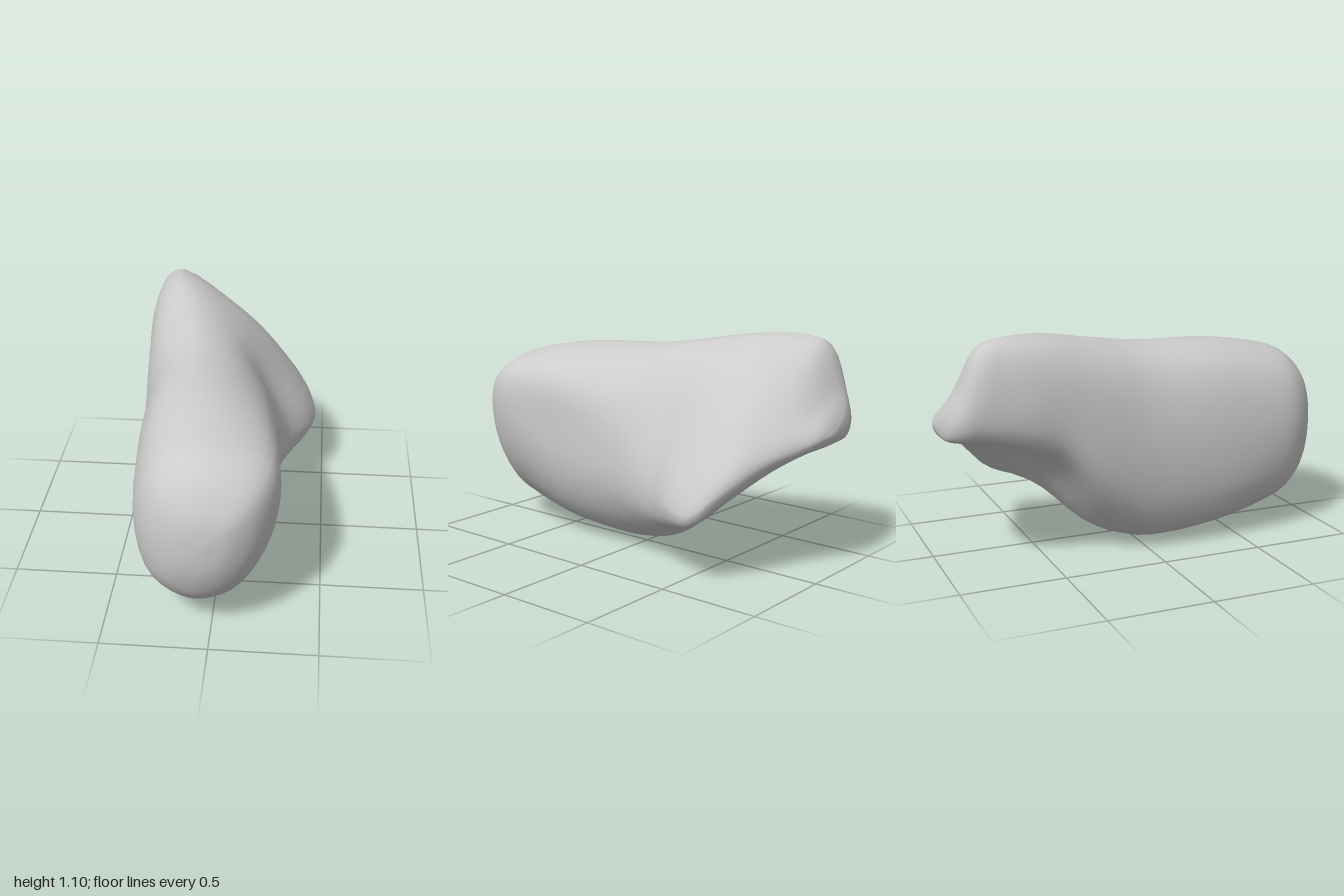
import * as THREE from 'three';
import { mergeVertices } from 'three/addons/utils/BufferGeometryUtils.js';

// Each section: z, then ten x,y pairs running counter-clockwise from the right-hand side.
const bodySections = [
  [0.7, 0.3, 0.68, 0.26, 0.83, 0.07, 0.92, -0.15, 0.92, -0.3, 0.8, -0.365, 0.52, -0.295, 0.21, -0.1, 0.085, 0.1, 0.15, 0.25, 0.38],
  [0.4, 0.28, 0.6, 0.25, 0.82, 0.07, 0.95, -0.15, 0.975, -0.32, 0.86, -0.395, 0.51, -0.325, 0.14, -0.1, 0.02, 0.14, 0.1, 0.262, 0.32],
  [0, 0.27, 0.5, 0.21, 0.75, 0.04, 0.94, -0.16, 1.0, -0.33, 0.88, -0.415, 0.52, -0.335, 0.135, -0.1, 0, 0.14, 0.09, 0.258, 0.28],
  [-0.25, 0.31, 0.38, 0.2, 0.67, 0.03, 0.94, -0.19, 1.04, -0.37, 0.92, -0.43, 0.65, -0.39, 0.33, -0.12, 0.11, 0.14, 0.115, 0.285, 0.22],
];
const tailSections = [
  [-0.45, 0.42, 0.36, 0.25, 0.66, 0.04, 0.93, -0.22, 1.075, -0.38, 0.99, -0.44, 0.75, -0.4, 0.53, -0.12, 0.38, 0.15, 0.27, 0.38, 0.25],
  [-0.6, 0.45, 0.345, 0.28, 0.64, 0.05, 0.91, -0.25, 1.09, -0.39, 1.02, -0.45, 0.77, -0.4, 0.59, -0.12, 0.51, 0.18, 0.38, 0.42, 0.285],
  [-0.72, 0.375, 0.45, 0.26, 0.64, 0.04, 0.88, -0.28, 1.085, -0.39, 1.03, -0.44, 0.79, -0.39, 0.62, -0.12, 0.57, 0.15, 0.47, 0.33, 0.4],
  [-0.83, 0.215, 0.56, 0.16, 0.67, 0, 0.83, -0.29, 1.055, -0.38, 1.02, -0.42, 0.8, -0.37, 0.64, -0.13, 0.6, 0.05, 0.54, 0.16, 0.52],
  [-0.92, 0.085, 0.62, 0.06, 0.68, -0.05, 0.76, -0.27, 0.86, -0.34, 0.85, -0.38, 0.75, -0.34, 0.64, -0.14, 0.61, -0.01, 0.59, 0.06, 0.59],
  [-0.975, 0, 0.65, -0.02, 0.68, -0.09, 0.72, -0.21, 0.75, -0.27, 0.75, -0.31, 0.7, -0.28, 0.64, -0.15, 0.62, -0.06, 0.62, -0.02, 0.63],
];
const SIDES = 40;
const STEPS = 4;

// Smooth closed outline through the points of one section
function outline([z, ...xy]) {
  const points = [];
  for (let i = 0; i < xy.length; i += 2) points.push(new THREE.Vector3(xy[i], xy[i + 1], z));
  const curve = new THREE.CatmullRomCurve3(points, true);
  return Array.from({ length: SIDES }, (_, j) => curve.getPoint(j / SIDES));
}

// Copy of an outline, shrunk towards a tip and moved along z
function shrink(ring, tipX, tipY, z, f) {
  return ring.map((p) => new THREE.Vector3(tipX + (p.x - tipX) * f, tipY + (p.y - tipY) * f, z));
}

// Skin stretched over the rings, smoothed lengthwise; the first and last ring are single points
function loft(rings) {
  const count = (rings.length - 1) * STEPS;
  const columns = rings[0].map((_, j) => new THREE.CatmullRomCurve3(rings.map((r) => r[j])));
  const positions = [];
  const index = [];
  for (let i = 0; i <= count; i++) {
    for (let j = 0; j < SIDES; j++) {
      positions.push(...columns[j].getPoint(i / count).toArray());
      const a = i * SIDES + j;
      const b = i * SIDES + ((j + 1) % SIDES);
      if (i > 0 && i < count) index.push(a, a + SIDES, b);
      if (i < count - 1) index.push(b, a + SIDES, b + SIDES);
    }
  }
  const geometry = new THREE.BufferGeometry();
  geometry.setAttribute('position', new THREE.Float32BufferAttribute(positions, 3));
  geometry.setIndex(index);
  const merged = mergeVertices(geometry, 1e-4);
  merged.computeVertexNormals();
  return merged;
}

export function createModel() {
  const group = new THREE.Group();
  const sections = [...bodySections, ...tailSections].map(outline);

  // Rounded nose
  const nose = [[1, 0], [0.985, 0.31], [0.95, 0.54], [0.9, 0.73], [0.81, 0.91]]
    .map(([z, f]) => shrink(sections[0], -0.01, 0.56, z, f));
  // Narrow end of the slanted tail
  const tip = shrink(sections[sections.length - 1], -0.12, 0.67, -1, 0);

  const material = new THREE.MeshStandardMaterial({ color: 0xcccccc });
  const body = new THREE.Mesh(loft([...nose, ...sections, tip]), material);
  body.name = 'body';
  group.add(body);
  return group;
}
